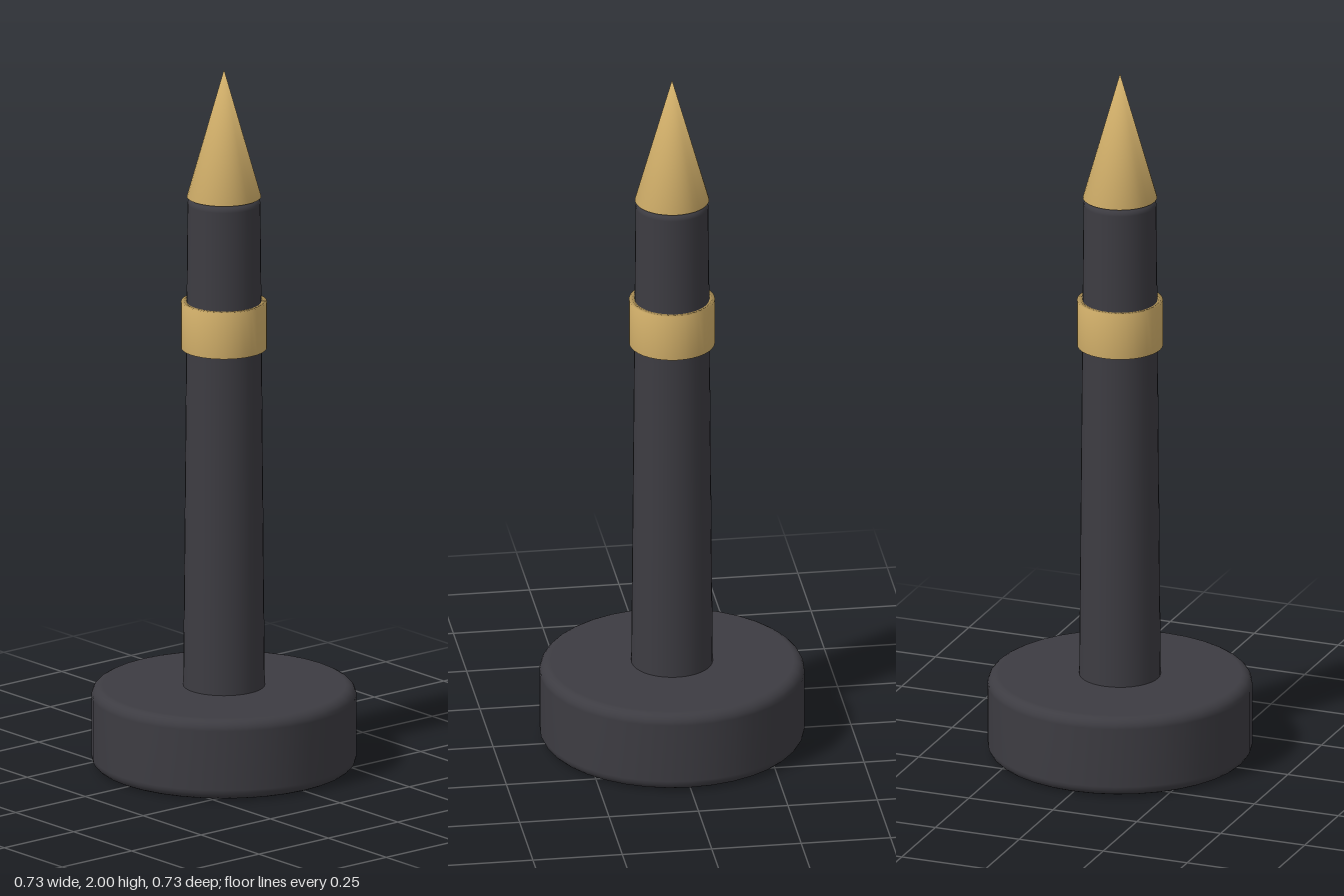
import * as THREE from 'three';
import { mergeVertices } from 'three/addons/utils/BufferGeometryUtils.js';

const SIDES = 36;

// Profile with quarter-round corners at the bottom and top edges
function roundedProfile(rBottom, rTop, y0, y1, bevel, steps = 5) {
  const pts = [[0, y0]];
  for (let i = 0; i <= steps; i++) {
    const a = (i / steps) * Math.PI / 2;
    pts.push([rBottom - bevel + bevel * Math.sin(a), y0 + bevel - bevel * Math.cos(a)]);
  }
  for (let i = 0; i <= steps; i++) {
    const a = (i / steps) * Math.PI / 2;
    pts.push([rTop - bevel + bevel * Math.cos(a), y1 - bevel + bevel * Math.sin(a)]);
  }
  pts.push([0, y1]);
  return pts;
}

function lathe(name, pts, material) {
  const geometry = new THREE.LatheGeometry(pts.map(([x, y]) => new THREE.Vector2(x, y)), SIDES);
  const mesh = new THREE.Mesh(geometry, material);
  mesh.name = name;
  return mesh;
}

// Weld seams and poles so the shading is smooth over every edge
function weld(mesh) {
  mesh.geometry.deleteAttribute('normal');
  mesh.geometry.deleteAttribute('uv');
  mesh.geometry = mergeVertices(mesh.geometry, 1e-5);
  mesh.geometry.computeVertexNormals();
  return mesh;
}

export function createModel() {
  const charcoal = new THREE.MeshStandardMaterial({ color: 0x3d3c42 });
  charcoal.name = 'charcoal';
  const gold = new THREE.MeshStandardMaterial({ color: 0xd6b36c });
  gold.name = 'gold';

  const model = new THREE.Group();
  model.name = 'spire';

  // Round foot and tapered column
  model.add(lathe('base', roundedProfile(0.367, 0.367, 0, 0.23, 0.03), charcoal));
  model.add(lathe('column', roundedProfile(0.113, 0.101, 0.2, 1.635, 0.02), charcoal));

  // Collar around the column
  model.add(weld(lathe('collar', [
    [0.1, 1.2], [0.119, 1.2], [0.119, 1.333], [0.1, 1.333], [0.1, 1.2],
  ], gold)));

  // Pointed tip
  model.add(weld(lathe('tip', [[0, 1.635], [0.103, 1.635], [0, 2]], gold)));

  return model;
}
